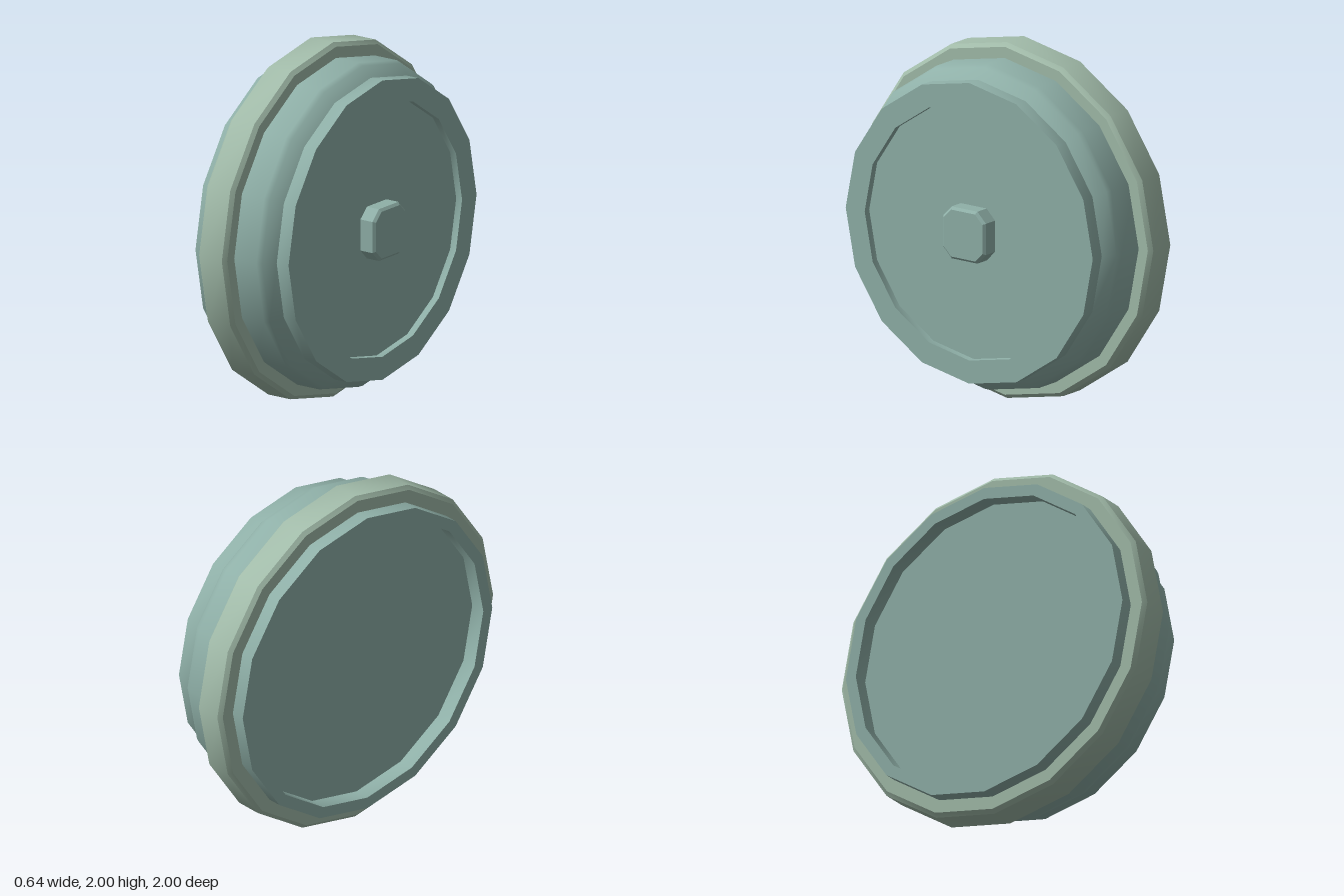
import * as THREE from 'three';
import { toCreasedNormals } from 'three/addons/utils/BufferGeometryUtils.js';

const SIDES = 16;
const bodyMaterial = new THREE.MeshStandardMaterial({ color: 0x8fb0a8 });
const flangeMaterial = new THREE.MeshStandardMaterial({ color: 0xa2bcaa });

// Turns a profile of [x, radius] pairs around the x axis.
function turned(name, profile, material) {
  const points = profile.map(([x, r]) => new THREE.Vector2(r, x));
  const geometry = new THREE.LatheGeometry(points, SIDES).rotateZ(-Math.PI / 2);
  const mesh = new THREE.Mesh(toCreasedNormals(geometry, 0.6), material);
  mesh.name = name;
  return mesh;
}

// Square with cut corners, extruded along x with a small bevel.
function hubCap(half, cut, depth, bevel) {
  const h = half - bevel;
  const c = h - cut;
  const shape = new THREE.Shape([
    [h, -c], [h, c], [c, h], [-c, h], [-h, c], [-h, -c], [-c, -h], [c, -h],
  ].map(([x, y]) => new THREE.Vector2(x, y)));
  const geometry = new THREE.ExtrudeGeometry(shape, {
    depth: depth - bevel, bevelThickness: bevel, bevelSize: bevel, bevelSegments: 1,
  }).rotateY(Math.PI / 2);
  const mesh = new THREE.Mesh(geometry, bodyMaterial);
  mesh.name = 'hubCap';
  return mesh;
}

export function createModel() {
  const wheel = new THREE.Group();
  wheel.name = 'wheel';

  // Drum with a shallow recess in the outer face and a deeper one behind
  wheel.add(turned('drum', [
    [-0.23, 0], [-0.23, 0.84], [-0.32, 0.84], [-0.32, 0.905], [-0.2, 0.905],
    [-0.1, 0.915], [0.1, 0.915], [0.13, 0.903], [0.185, 0.845],
    [0.265, 0.845], [0.265, 0.715], [0.225, 0.715], [0.225, 0],
  ], bodyMaterial));

  // Raised flange with bevelled edges
  wheel.add(turned('flange', [
    [-0.24, 0.88], [-0.24, 0.978], [-0.22, 1], [-0.07, 1], [-0.05, 0.978], [-0.05, 0.88],
  ], flangeMaterial));

  // Central cap standing on the recess floor
  const cap = hubCap(0.146, 0.05, 0.095, 0.014);
  cap.position.x = 0.225;
  wheel.add(cap);

  wheel.position.y = 1;
  const model = new THREE.Group();
  model.add(wheel);
  return model;
}
